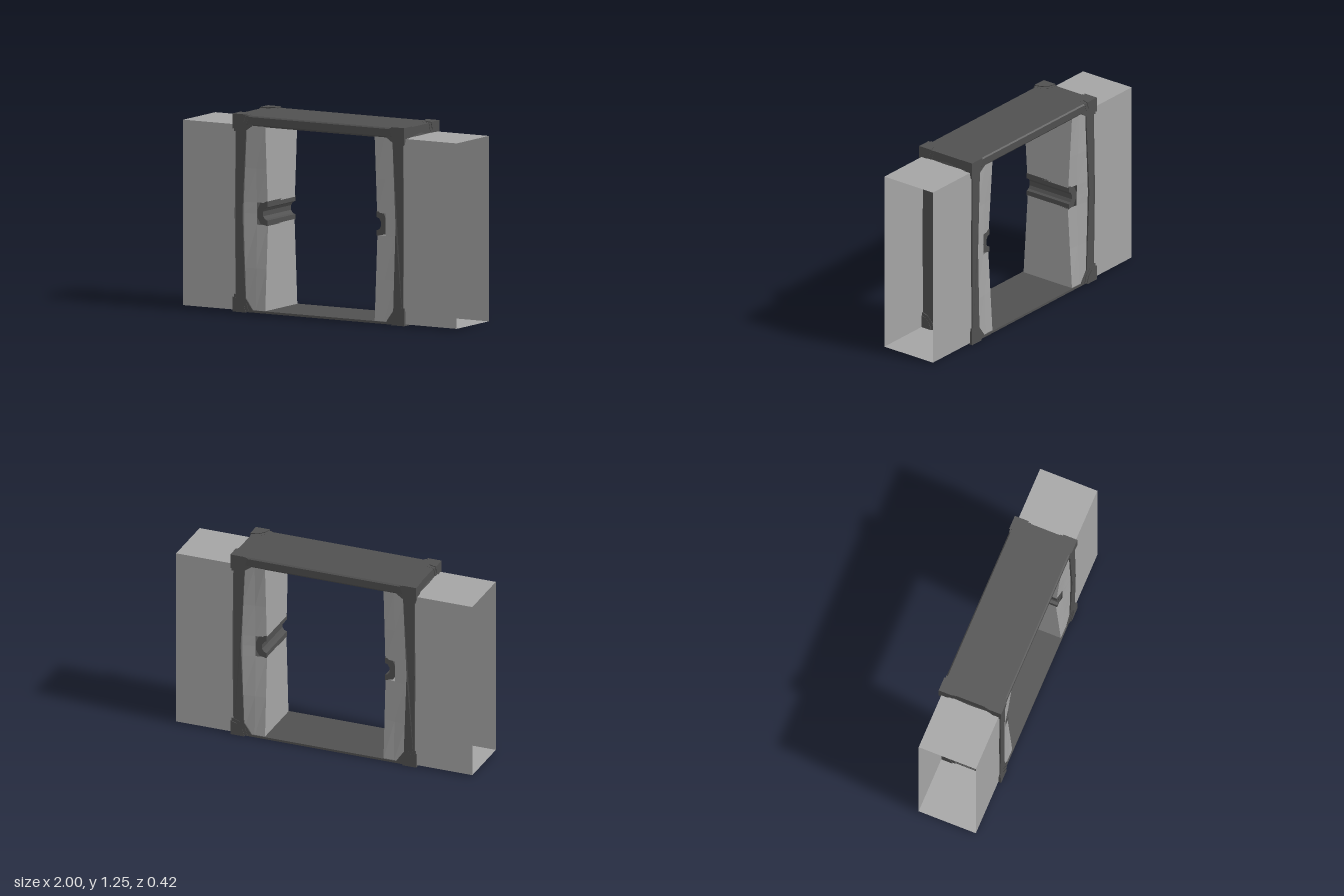
import * as THREE from 'three';
import { ConvexGeometry } from 'three/addons/geometries/ConvexGeometry.js';

const frameMat = new THREE.MeshStandardMaterial({ color: 0x505050, flatShading: true });
frameMat.name = 'dark frame grey';
const doorMat = new THREE.MeshStandardMaterial({ color: 0xa4a4a4, side: THREE.DoubleSide });
doorMat.name = 'light door grey';

function mesh(geometry, material, name) {
  const m = new THREE.Mesh(geometry, material);
  m.name = name;
  return m;
}

// Extrudes an outline, centred in depth
function prism(points, depth, bevel = {}) {
  const shape = new THREE.Shape(points.map(([x, y]) => new THREE.Vector2(x, y)));
  const g = new THREE.ExtrudeGeometry(shape, { depth, bevelEnabled: false, ...bevel });
  return g.translate(0, 0, -depth / 2);
}

// Sliding door: hollow, open at its outer end, pinched towards the middle of its leading edge
function doorGeometry() {
  const xs = [1, 0.55, 0.47, 0.4];
  const ys = [0.01, 0.28, 0.555, 0.625, 0.695, 0.91, 1.18];
  const halfDepth = (x, y) => {
    const toEdge = Math.max(0, (0.55 - x) / 0.15);
    const toMiddle = 1 - Math.abs(y - 0.595) / 0.585;
    return 0.193 - 0.036 * toEdge * Math.max(0, toMiddle);
  };
  const pos = [];
  const quad = (a, b, c, d) => pos.push(...a, ...b, ...c, ...a, ...c, ...d);
  const at = (x, y, s) => [x, y, s * halfDepth(x, y)];
  for (let j = 0; j < ys.length - 1; j++) {
    const [y0, y1] = [ys[j], ys[j + 1]];
    const notch = j === 2 || j === 3;
    for (let i = 0; i < xs.length - 1; i++) {
      if (notch && i === 2) continue;
      const [x0, x1] = [xs[i], xs[i + 1]];
      quad(at(x1, y0, 1), at(x0, y0, 1), at(x0, y1, 1), at(x1, y1, 1));
      quad(at(x0, y0, -1), at(x1, y0, -1), at(x1, y1, -1), at(x0, y1, -1));
    }
    if (!notch) quad(at(0.4, y0, -1), at(0.4, y0, 1), at(0.4, y1, 1), at(0.4, y1, -1));
  }
  quad([0.4, 1.18, 0.193], [1, 1.18, 0.193], [1, 1.18, -0.193], [0.4, 1.18, -0.193]);
  quad([0.4, 0.01, -0.193], [1, 0.01, -0.193], [1, 0.01, 0.193], [0.4, 0.01, 0.193]);
  const g = new THREE.BufferGeometry();
  g.setAttribute('position', new THREE.Float32BufferAttribute(pos, 3));
  g.computeVertexNormals();
  return g;
}

// Faceted corner guard, measured inwards from the frame corner
function cornerGeometry(sx, top, sz, size, inset) {
  const local = [[0, 0, 0]];
  for (let k = 0; k < 3; k++) {
    for (const [a, b] of [[1, 0], [0.84, 0.52], [0.52, 0.84]]) {
      const p = [0, 0, 0];
      p[k] = a * size;
      p[(k + 1) % 3] = b * size;
      local.push(p);
    }
  }
  return new ConvexGeometry(local.map(([a, b, c]) => new THREE.Vector3(
    sx * (0.627 - inset - a),
    top ? 1.25 - inset - b : inset + b,
    sz * (0.211 - inset - c))));
}

// One side of the doorway: post, side panel, door and grip channel
function buildSide() {
  const side = new THREE.Group();

  const post = prism([
    [0.61, 0.005], [0.616, 0.62], [0.61, 1.235], [0.5, 1.2], [0.49, 1.18],
    [0.535, 1.15], [0.56, 0.625], [0.54, 0.09], [0.49, 0.02], [0.49, 0.005],
  ], 0.4);
  // Bow the post faces slightly outwards at mid height
  const p = post.attributes.position;
  for (let i = 0; i < p.count; i++) {
    if (Math.abs(p.getY(i) - 0.62) < 0.02) p.setZ(i, p.getZ(i) * 1.025);
  }
  post.computeVertexNormals();
  side.add(mesh(post, frameMat, 'sidePost'));

  const panel = prism([
    [0, 0.065], [0.115, 0.085], [0.135, 0.625], [0.115, 1.165],
    [0, 1.18], [-0.115, 1.165], [-0.135, 0.625], [-0.115, 0.085],
  ], 0.004, { bevelEnabled: true, bevelSize: 0.015, bevelThickness: 0.005, bevelSegments: 1 });
  panel.rotateY(Math.PI / 2).translate(0.615, 0, 0);
  side.add(mesh(panel, frameMat, 'sidePanel'));

  side.add(mesh(doorGeometry(), doorMat, 'slidingDoor'));

  const grip = prism([
    [0.4, 0.55], [0.45, 0.56], [0.472, 0.6], [0.472, 0.65], [0.45, 0.695], [0.4, 0.705],
    [0.4, 0.668], [0.418, 0.66], [0.43, 0.64], [0.43, 0.61], [0.418, 0.592], [0.4, 0.585],
  ], 0.335);
  side.add(mesh(grip, frameMat, 'gripChannel'));
  return side;
}

export function createModel() {
  const model = new THREE.Group();
  model.name = 'slidingDoorway';

  for (const left of [true, false]) {
    const side = buildSide();
    side.name = left ? 'leftSide' : 'rightSide';
    if (!left) side.rotation.y = Math.PI;
    model.add(side);
  }

  // Top beam with chamfered edges
  const beam = prism([
    [-0.19, 1.176], [0.19, 1.176], [0.201, 1.188], [0.203, 1.235],
    [0.195, 1.243], [-0.195, 1.243], [-0.203, 1.235], [-0.201, 1.188],
  ], 1.234);
  model.add(mesh(beam.rotateY(Math.PI / 2), frameMat, 'topBeam'));

  // Threshold
  const sill = new THREE.BoxGeometry(1.234, 0.014, 0.4).translate(0, 0.009, 0);
  model.add(mesh(sill, frameMat, 'threshold'));

  // Eight corner guards, each with a stepped rim
  for (const sx of [1, -1]) for (const sz of [1, -1]) for (const top of [true, false]) {
    const guard = new THREE.Group();
    guard.name = 'cornerGuard';
    guard.add(mesh(cornerGeometry(sx, top, sz, 0.095, 0), frameMat, 'guardCap'));
    guard.add(mesh(cornerGeometry(sx, top, sz, 0.107, 0.006), frameMat, 'guardRim'));
    model.add(guard);
  }
  return model;
}
